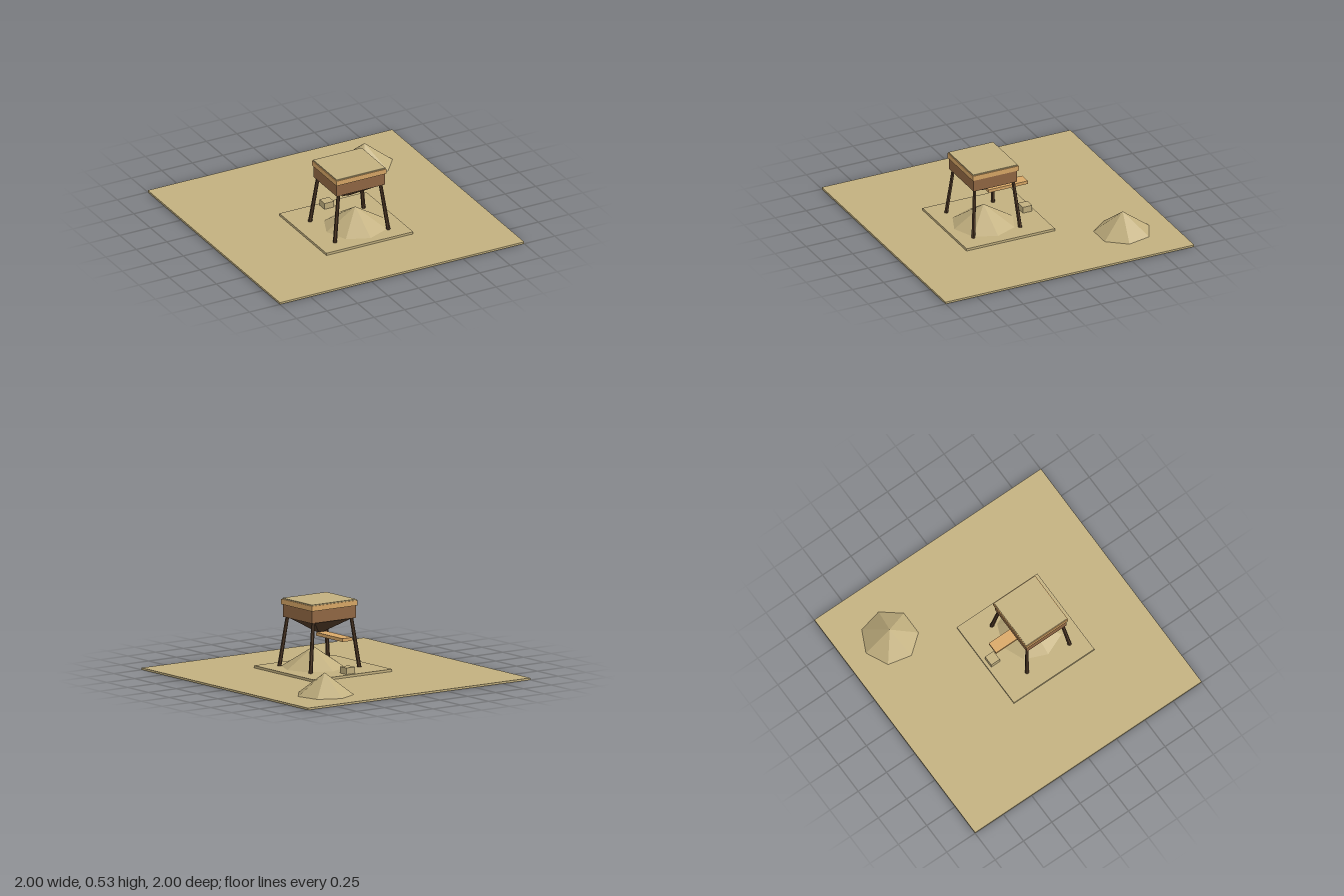
import * as THREE from 'three';

const mat = (name, color) => {
  const m = new THREE.MeshStandardMaterial({ color });
  m.name = name;
  m.flatShading = true;
  return m;
};

export function createModel() {
  const sand = mat('sand', 0xc2b07f);
  const paleWood = mat('pale wood', 0xd9a867);
  const midWood = mat('mid wood', 0x926844);
  const darkWood = mat('dark wood', 0x503a27);

  const model = new THREE.Group();
  model.name = 'sandHopperScene';

  const add = (name, geometry, material, x, y, z, parent = model) => {
    const mesh = new THREE.Mesh(geometry, material);
    mesh.name = name;
    mesh.position.set(x, y, z);
    parent.add(mesh);
    return mesh;
  };
  // Box given by its bottom and top heights
  const box = (name, w, d, y0, y1, material, x, z, parent) =>
    add(name, new THREE.BoxGeometry(w, y1 - y0, d), material, x, (y0 + y1) / 2, z, parent);
  // Faceted heap standing on y0
  const heap = (name, radius, sides, y0, y1, x, z, turn) => {
    add(name, new THREE.ConeGeometry(radius, y1 - y0, sides), sand, x, (y0 + y1) / 2, z).rotation.y = turn;
  };

  // Ground, working pad and loose block
  box('ground', 2, 2, 0, 0.015, sand, 0, 0);
  box('pad', 0.71, 0.71, 0.015, 0.033, sand, 0, 0.155);
  box('block', 0.078, 0.075, 0.033, 0.08, sand, 0, -0.138);

  // Sand heaps
  heap('heapUnderHopper', 0.24, 8, 0.03, 0.182, 0.04, 0.217, 0);
  heap('farHeap', 0.21, 7, 0.015, 0.175, 0.577, -0.635, Math.PI);

  // Hopper on splayed legs
  const hopper = new THREE.Group();
  hopper.name = 'hopper';
  hopper.position.z = 0.2;
  model.add(hopper);

  box('bin', 0.396, 0.35, 0.393, 0.486, midWood, 0, 0, hopper);
  box('rim', 0.41, 0.37, 0.484, 0.522, paleWood, 0, 0, hopper);
  box('sandFill', 0.398, 0.358, 0.515, 0.53, sand, 0, 0, hopper);

  // Four-sided funnel pointing down
  const funnel = new THREE.ConeGeometry(0.172 * Math.SQRT2, 0.12, 4);
  funnel.rotateY(Math.PI / 4).rotateX(Math.PI);
  add('funnel', funnel, darkWood, 0, 0.335, 0, hopper);

  const up = new THREE.Vector3(0, 1, 0);
  for (const sx of [-1, 1]) {
    for (const sz of [-1, 1]) {
      const foot = new THREE.Vector3(sx * 0.219, 0.031, sz * 0.188);
      const top = new THREE.Vector3(sx * 0.17, 0.41, sz * 0.153);
      const dir = top.clone().sub(foot);
      const leg = add('leg', new THREE.CylinderGeometry(0.013, 0.015, dir.length(), 6), darkWood, 0, 0, 0, hopper);
      leg.position.copy(foot).add(top).multiplyScalar(0.5);
      leg.quaternion.setFromUnitVectors(up, dir.normalize());
    }
  }

  // Chute board running out behind
  box('chute', 0.09, 0.315, 0.266, 0.29, paleWood, 0, 0.02);

  return model;
}
